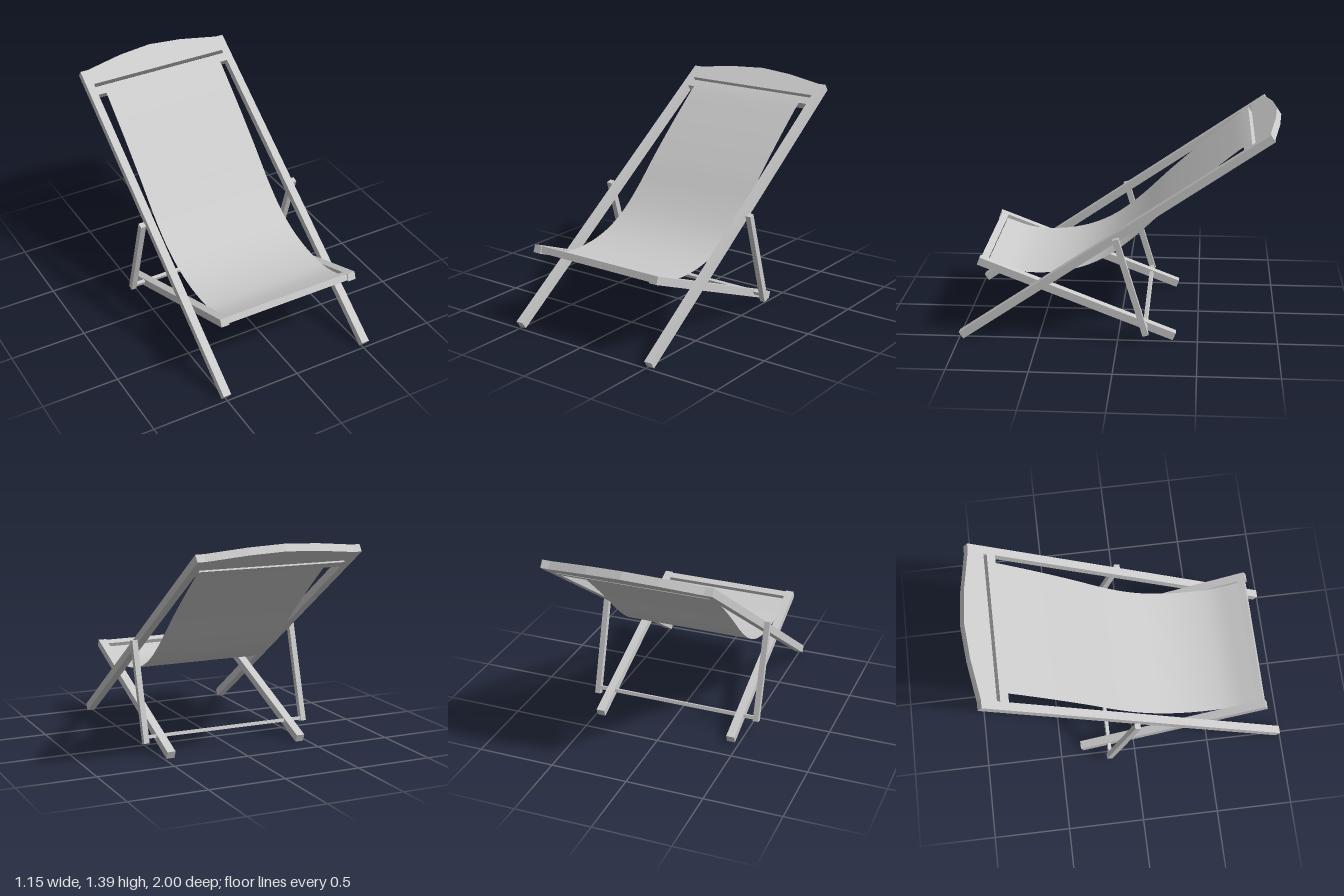
import * as THREE from 'three';

const wood = new THREE.MeshStandardMaterial({ color: 0xcccccc, flatShading: true });
const cloth = new THREE.MeshStandardMaterial({ color: 0xcccccc, side: THREE.DoubleSide });

function add(parent, name, geometry, x = 0, y = 0, z = 0, material = wood) {
  const mesh = new THREE.Mesh(geometry, material);
  mesh.name = name;
  mesh.position.set(x, y, z);
  parent.add(mesh);
  return mesh;
}

// A frame lying in its own XY plane: local +y runs up the rails, +z is its upper face
function tiltedFrame(parent, name, y, z, angle) {
  const group = new THREE.Group();
  group.name = name;
  group.position.set(0.0075, y, z);
  group.rotation.x = angle;
  parent.add(group);
  return group;
}

export function createModel() {
  const root = new THREE.Group();
  root.name = 'deckChair';

  // Back frame: two long rails joined by an arched, slotted head board
  const back = tiltedFrame(root, 'backFrame', 0.021, 0.986, THREE.MathUtils.degToRad(-55.5));
  for (const s of [-1, 1]) {
    add(back, s > 0 ? 'leftBackRail' : 'rightBackRail', new THREE.BoxGeometry(0.052, 2.32, 0.05), s * 0.506, 1.16, 0);
  }
  const board = new THREE.Shape([
    [-0.48, 2.13], [0.48, 2.13], [0.48, 2.32], [0.225, 2.368],
    [0, 2.389], [-0.225, 2.368], [-0.48, 2.32],
  ].map(([x, y]) => new THREE.Vector2(x, y)));
  board.holes.push(new THREE.Path([
    [-0.479, 2.189], [-0.479, 2.212], [0.479, 2.212], [0.479, 2.189],
  ].map(([x, y]) => new THREE.Vector2(x, y))));
  add(back, 'headBoard', new THREE.ExtrudeGeometry(board, { depth: 0.05, bevelEnabled: false }), 0, 0, -0.025);

  // Seat frame: two short rails and a front crossbar
  const seat = tiltedFrame(root, 'seatFrame', 0.026, -0.355, THREE.MathUtils.degToRad(90 - 21.3));
  for (const s of [-1, 1]) {
    add(seat, s > 0 ? 'leftSeatRail' : 'rightSeatRail', new THREE.BoxGeometry(0.054, 1.315, 0.05), s * 0.453, 0.6575, 0);
  }
  add(seat, 'frontCrossbar', new THREE.BoxGeometry(0.86, 0.046, 0.043), 0, 1.284, -0.003);

  // Props outside the rails, one set slightly higher, with a square rod between their feet
  const lean = THREE.MathUtils.degToRad(16.7);
  for (const s of [-1, 1]) {
    const prop = add(root, s > 0 ? 'leftProp' : 'rightProp', new THREE.BoxGeometry(0.036, 0.656, 0.038),
      s * 0.557, s > 0 ? 0.378 : 0.401, -0.084);
    prop.rotation.x = lean;
  }
  const rod = add(root, 'propRod', new THREE.BoxGeometry(1.1, 0.0225, 0.0225), 0, 0.105, -0.173);
  rod.rotation.x = lean;

  // Sling: lies over the lower bar of the head board and sags to the crossbar
  const sag = new THREE.CatmullRomCurve3([
    [1.282, -0.8], [1.251, -0.753], [1.125, -0.6], [0.995, -0.45], [0.84, -0.28], [0.667, -0.1], [0.546, 0.055],
    [0.472, 0.2], [0.431, 0.35], [0.417, 0.5], [0.428, 0.65], [0.483, 0.817],
  ].map(([y, z]) => new THREE.Vector3(0, y, z)));
  const profile = sag.getSpacedPoints(44);
  const sheet = new THREE.PlaneGeometry(0.852, 1, 1, profile.length - 1);
  const pos = sheet.attributes.position;
  for (let i = 0; i < pos.count; i++) {
    const p = profile[Math.floor(i / 2)];
    pos.setXYZ(i, pos.getX(i), p.y, p.z);
  }
  sheet.computeVertexNormals();
  add(root, 'slingFabric', sheet, 0.0075, 0, 0, cloth);

  return root;
}
